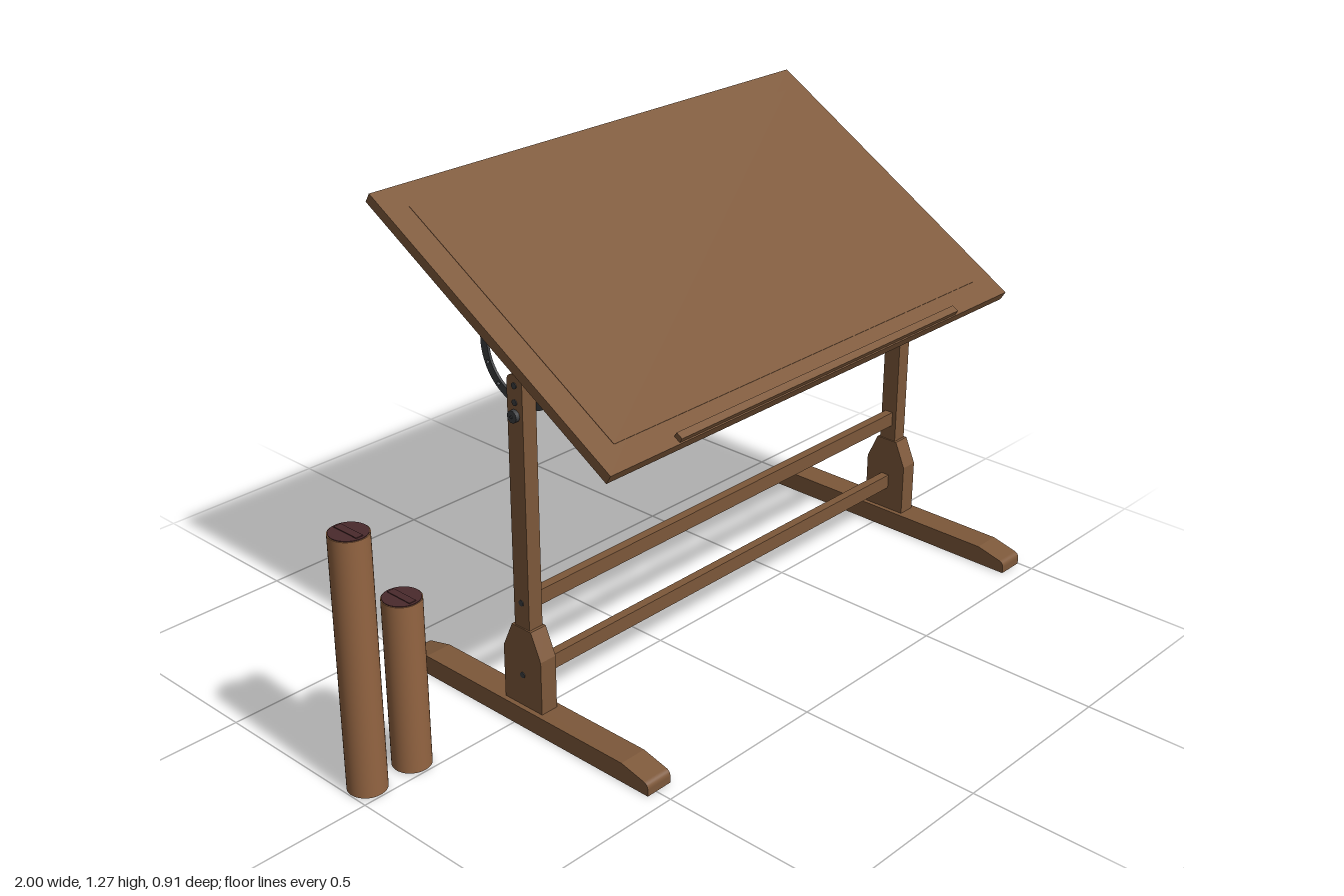
import * as THREE from 'three';

const wood = new THREE.MeshStandardMaterial({ name: 'brown wood', color: 0x7d583a });
const tubeWood = new THREE.MeshStandardMaterial({ name: 'light brown tube', color: 0x946542 });
const capRed = new THREE.MeshStandardMaterial({ name: 'dark maroon cap', color: 0x4a2a2c });
const metal = new THREE.MeshStandardMaterial({ name: 'dark metal', color: 0x3b3d40 });

const CX = 0.235;       // table centre in x
const LEG_X = 0.725;    // leg offset from the table centre
const LEG_Z = 0.0225;   // leg centre line in z
const TILT = THREE.MathUtils.degToRad(31);

function add(parent, name, geometry, material, x = 0, y = 0, z = 0) {
  const mesh = new THREE.Mesh(geometry, material);
  mesh.name = name;
  mesh.position.set(x, y, z);
  parent.add(mesh);
  return mesh;
}

const box = (w, h, d) => new THREE.BoxGeometry(w, h, d);

// Side profile, drawn as (-z, y), extruded along x and centred on it
function extrudeX(shape, width, curveSegments = 24) {
  const g = new THREE.ExtrudeGeometry(shape, { depth: width, bevelEnabled: false, curveSegments });
  return g.translate(0, 0, -width / 2).rotateY(Math.PI / 2);
}

// Disc with its axis along x
const discX = (r, w, n = 20) => new THREE.CylinderGeometry(r, r, w, n).rotateZ(Math.PI / 2);

function footShape() {
  const s = new THREE.Shape();
  s.moveTo(-0.432, 0);
  s.lineTo(0.432, 0);
  s.lineTo(0.432, 0.018);
  s.quadraticCurveTo(0.432, 0.031, 0.42, 0.035);
  s.lineTo(0.347, 0.053);
  s.lineTo(-0.347, 0.053);
  s.lineTo(-0.42, 0.035);
  s.quadraticCurveTo(-0.432, 0.031, -0.432, 0.018);
  s.closePath();
  return s;
}

function blockShape() {
  return new THREE.Shape([
    [-0.065, 0.053], [0.065, 0.053], [0.065, 0.2],
    [0.033, 0.272], [-0.033, 0.272], [-0.065, 0.2],
  ].map(([x, y]) => new THREE.Vector2(x, y)));
}

function postShape() {
  const s = new THREE.Shape();
  s.moveTo(-0.0255, 0.053);
  s.lineTo(0.0255, 0.053);
  s.lineTo(0.0255, 0.913);
  s.quadraticCurveTo(0.0255, 0.935, 0.006, 0.936);
  s.lineTo(-0.006, 0.936);
  s.quadraticCurveTo(-0.0255, 0.935, -0.0255, 0.913);
  s.closePath();
  return s;
}

// Half ring with adjustment holes
function arcShape() {
  const s = new THREE.Shape();
  s.absarc(0, 0, 0.138, Math.PI, 2 * Math.PI, false);
  s.absarc(0, 0, 0.116, 2 * Math.PI, Math.PI, true);
  s.closePath();
  for (let k = 0; k < 7; k++) {
    const a = -THREE.MathUtils.degToRad(5 + 25.5 * k);
    const hole = new THREE.Path();
    hole.absarc(0.127 * Math.cos(a), 0.127 * Math.sin(a), 0.005, 0, 2 * Math.PI, true);
    s.holes.push(hole);
  }
  return s;
}

function createLeg(side) {
  const leg = new THREE.Group();
  leg.name = side > 0 ? 'leftLeg' : 'rightLeg';
  leg.position.set(side * LEG_X, 0, LEG_Z);
  add(leg, 'foot', extrudeX(footShape(), 0.077), wood);
  add(leg, 'baseBlock', extrudeX(blockShape(), 0.05), wood);
  add(leg, 'post', extrudeX(postShape(), 0.043), wood);
  // Bolts on the outer face
  for (const y of [0.14, 0.34, 0.868, 0.91]) {
    const face = y < 0.27 ? 0.025 : 0.0215;
    add(leg, 'bolt', discX(0.008, 0.004, 16), metal, side * face, y, 0);
  }
  // Clamp knob and its shaft
  add(leg, 'knob', discX(0.016, 0.012, 10), metal, side * 0.0265, 0.835, 0);
  add(leg, 'knobShaft', discX(0.004, 0.07, 12), metal, 0, 0.835, 0);
  return leg;
}

function createBoard() {
  const board = new THREE.Group();
  board.name = 'drawingBoard';
  board.position.set(0, 1.019, -0.055);
  board.rotation.x = TILT;
  add(board, 'boardTop', box(1.525, 0.027, 0.915), wood);
  add(board, 'inlaidPanel', box(1.385, 0.002, 0.78), wood, 0, 0.0137, 0);
  add(board, 'pencilLedge', box(1.07, 0.014, 0.02), wood, 0, 0.0205, 0.444);
  // Tilt brackets under the board, just inside the legs
  for (const side of [-1, 1]) {
    const bracket = new THREE.Group();
    bracket.name = 'tiltBracket';
    bracket.position.set(side * (LEG_X - 0.026), -0.0135, 0.074);
    add(bracket, 'tiltArc', extrudeX(arcShape(), 0.007, 40), metal);
    add(bracket, 'mountingPlate', box(0.026, 0.005, 0.34), metal, -side * 0.0095, -0.0025, 0);
    board.add(bracket);
  }
  return board;
}

function createTube(x, z, r, h) {
  const tube = new THREE.Group();
  tube.name = 'storageTube';
  tube.position.set(x, 0, z);
  add(tube, 'tubeBody', new THREE.CylinderGeometry(r, r, h - 0.008, 40), tubeWood, 0, h / 2, 0);
  // End caps, each with a raised grip bar
  for (const end of [-1, 1]) {
    const y = h / 2 + end * (h / 2 - 0.004);
    add(tube, 'endCap', new THREE.CylinderGeometry(r * 0.95, r * 0.95, 0.004, 40), capRed, 0, y, 0);
    add(tube, 'capGrip', box(r * 0.4, 0.004, r * 1.6), capRed, 0, y + end * 0.002, 0);
  }
  return tube;
}

export function createModel() {
  const model = new THREE.Group();
  model.name = 'draftingTableSet';

  const table = new THREE.Group();
  table.name = 'draftingTable';
  table.position.x = CX;
  table.add(createLeg(-1), createLeg(1), createBoard());

  // Cross rails between the legs
  const span = 2 * LEG_X - 0.043;
  add(table, 'lowerRail', box(span, 0.041, 0.025), wood, 0, 0.14, LEG_Z);
  add(table, 'middleRail', box(span, 0.041, 0.025), wood, 0, 0.339, LEG_Z);
  add(table, 'topRail', box(span, 0.07, 0.025), wood, 0, 0.889, LEG_Z);
  model.add(table);

  // Upright tubes beside the table
  model.add(
    createTube(-0.951, -0.05, 0.049, 0.682),
    createTube(-0.815, -0.05, 0.049, 0.46),
    createTube(-0.88, -0.13, 0.03, 0.592),
  );
  return model;
}
